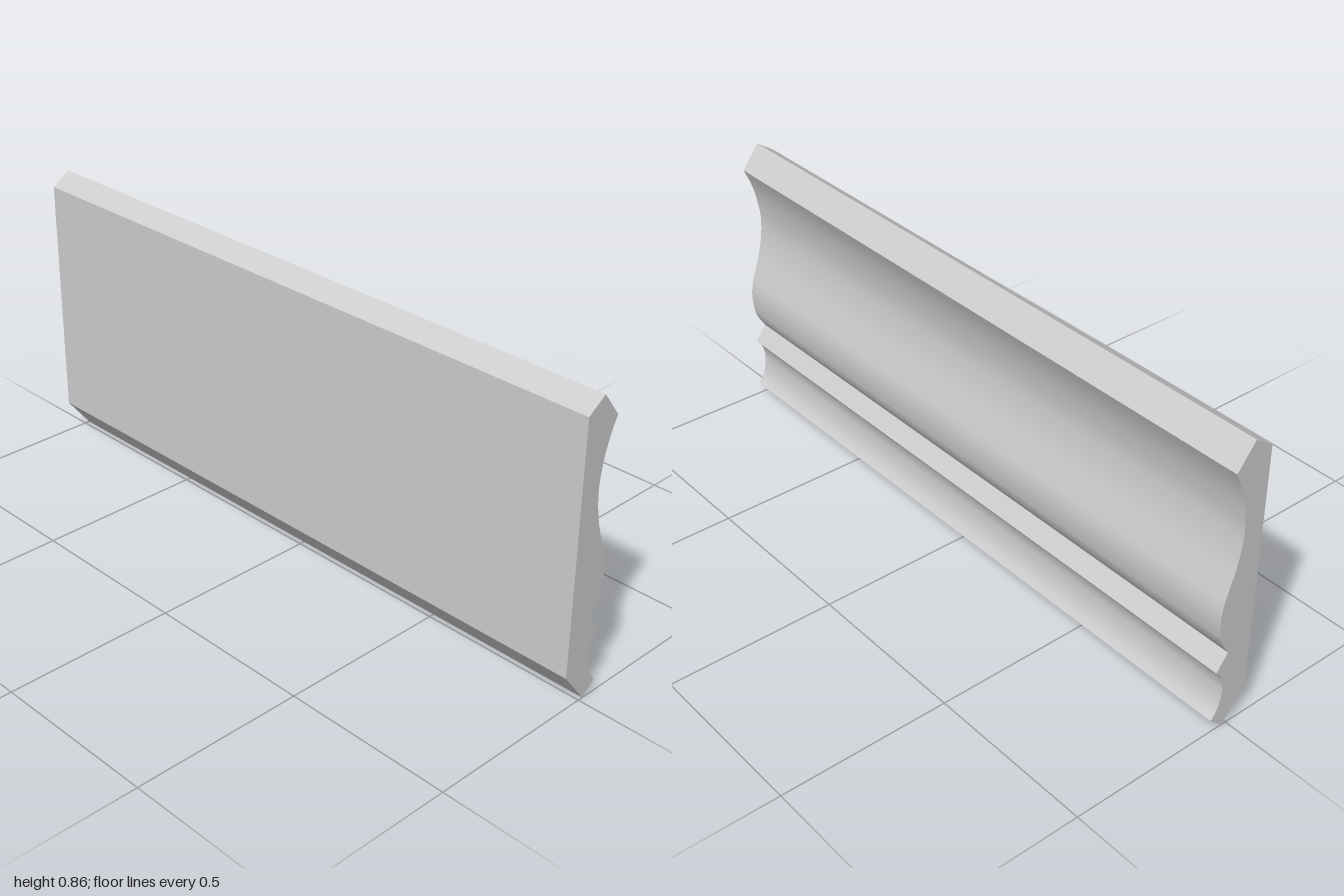
import * as THREE from 'three';
import { toCreasedNormals } from 'three/addons/utils/BufferGeometryUtils.js';

const pts = (list) => list.map(([x, y]) => new THREE.Vector2(x, y));

export function createModel() {
  const group = new THREE.Group();
  group.name = 'crownMoulding';

  // Cross-section: flat back, bevelled ends, moulded face on +x
  const profile = new THREE.Shape();
  profile.moveTo(-0.059, 0.095);
  profile.lineTo(-0.059, 0.82);
  profile.lineTo(-0.003, 0.858);
  profile.lineTo(0.052, 0.787);
  // Large cove flowing into the rounded bead
  profile.splineThru(pts([
    [0.033, 0.745], [0.018, 0.7], [0.008, 0.65], [0.004, 0.605], [0.008, 0.555], [0.018, 0.505],
    [0.032, 0.46], [0.047, 0.415], [0.054, 0.385], [0.056, 0.355], [0.053, 0.32], [0.044, 0.283], [0.018, 0.24],
  ]));
  // Step between bead and lower cove
  profile.lineTo(0.053, 0.192);
  // Small lower cove
  profile.splineThru(pts([[0.037, 0.173], [0.028, 0.15], [0.025, 0.125], [0.029, 0.09], [0.039, 0.06], [0.056, 0.036]]));
  profile.lineTo(0.015, 0);
  profile.closePath();

  // Sweep the section along z
  const geometry = new THREE.ExtrudeGeometry(profile, { depth: 2, bevelEnabled: false, curveSegments: 4 });
  geometry.translate(0, 0, -1);

  const moulding = new THREE.Mesh(
    toCreasedNormals(geometry, 0.5),
    new THREE.MeshStandardMaterial({ color: 0xcccccc })
  );
  moulding.name = 'mouldingStrip';
  group.add(moulding);
  return group;
}
